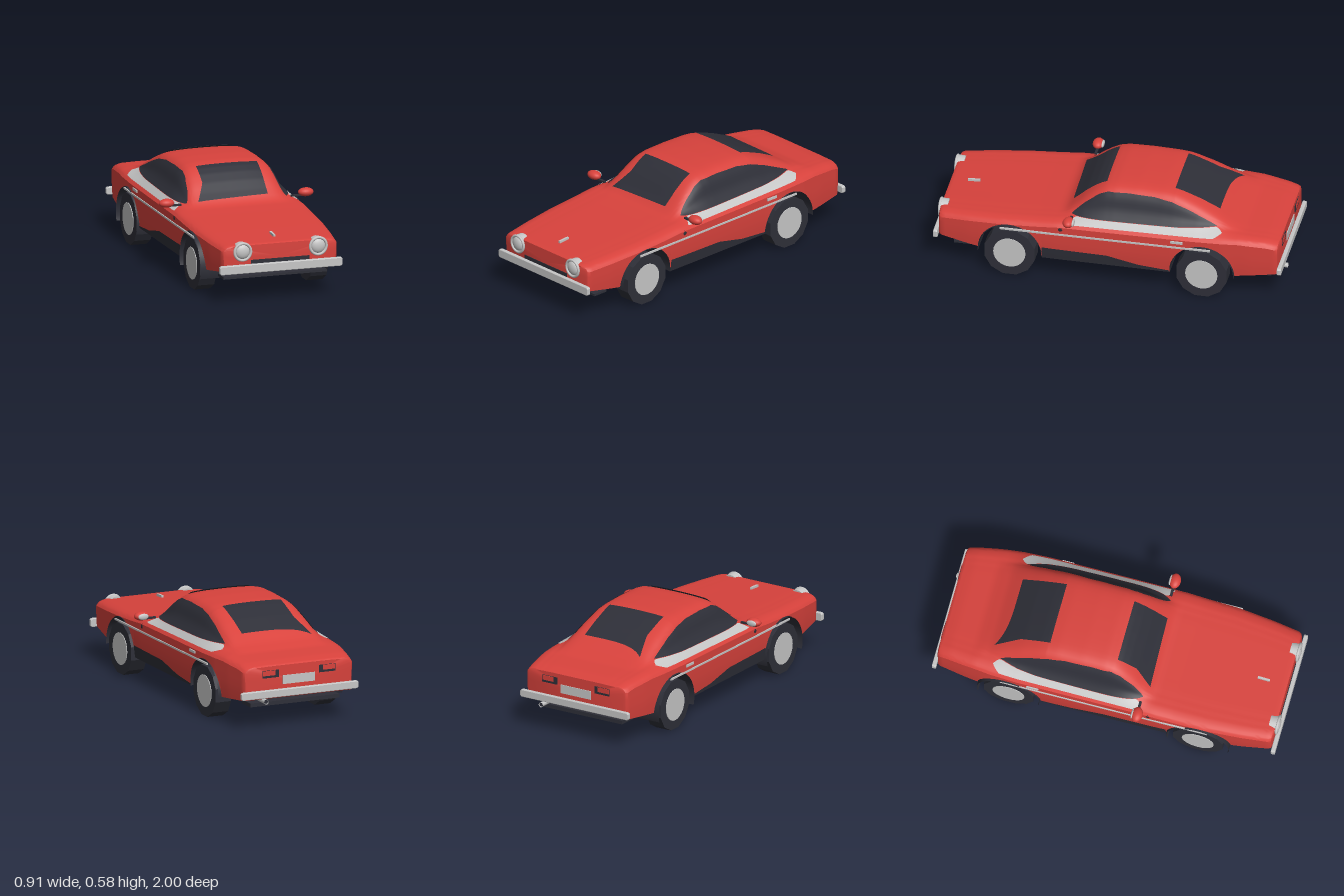
import * as THREE from 'three';
import { toCreasedNormals } from 'three/addons/utils/BufferGeometryUtils.js';

const { lerp } = THREE.MathUtils;
const ARCHES = [0.555, -0.54], ARCH_R = 0.184, AXLE_Y = 0.15;

// Piecewise linear lookup over [key, value] pairs with ascending keys
function table(pairs, k) {
  if (k <= pairs[0][0]) return pairs[0][1];
  for (let i = 1; i < pairs.length; i++) {
    const [a, va] = pairs[i - 1], [b, vb] = pairs[i];
    if (k <= b) return b === a ? vb : lerp(va, vb, (k - a) / (b - a));
  }
  return pairs[pairs.length - 1][1];
}

// Lines that shape the body along z
const WIDTH = [[-0.96, 0.335], [-0.8, 0.36], [-0.65, 0.377], [-0.5, 0.384], [0.3, 0.384], [0.6, 0.378], [0.8, 0.36], [0.97, 0.337]];
const DECK = [[-0.96, 0.362], [-0.9, 0.376], [-0.75, 0.392], [-0.6, 0.392], [0.28, 0.383], [0.4, 0.372], [0.7, 0.352], [0.97, 0.333]];
const ROOF = [[-0.76, 0.392], [-0.68, 0.42], [-0.6, 0.465], [-0.5, 0.515], [-0.4, 0.555], [-0.36, 0.567], [-0.3, 0.575],
  [-0.15, 0.58], [-0.02, 0.577], [0.03, 0.568], [0.06, 0.555], [0.1, 0.53], [0.15, 0.49], [0.2, 0.442], [0.25, 0.398], [0.28, 0.383]];
const FLOOR = [[-0.96, 0.175], [-0.72, 0.152], [-0.36, 0.14], [0.37, 0.14], [0.73, 0.152], [0.97, 0.19]];

// Half cross-section at z, from the middle of the floor round to the middle of the roof
const cache = new Map();
function half(z) {
  if (cache.has(z)) return cache.get(z);
  const w = table(WIDTH, z), d = table(DECK, z);
  const h = z > -0.76 && z < 0.28 ? Math.max(0, table(ROOF, z) - d) : 0;
  let yb = table(FLOOR, z);
  for (const c of ARCHES) {
    const q = ARCH_R ** 2 - (z - c) ** 2;
    if (q > 0) yb = Math.max(yb, AXLE_Y + Math.sqrt(q));
  }
  const side = y => w * (1 - 1.5 * Math.max(0, 0.28 - y) ** 2);
  const ys = Math.max(d - 0.028, yb + 0.001);
  const pts = [[0, yb]];
  for (let i = 0; i < 4; i++) { const y = lerp(yb, ys, i / 4); pts.push([side(y), y]); }
  const k = w / 0.384;
  const curve = new THREE.CatmullRomCurve3([
    [w, ys], [w * 0.955, d - 0.01], [0.325 * k, d + 0.002 + 0.16 * h], [0.295 * k, d + 0.003 + 0.36 * h],
    [0.272 * k, d + 0.004 + 0.64 * h], [0.25 * k, d + 0.004 + 0.82 * h], [0.215 * k, d + 0.005 + 0.93 * h],
    [0.13 * k, d + 0.005 + 0.985 * h], [0, d + 0.005 + h],
  ].map(([x, y]) => new THREE.Vector3(x, y, 0)), false, 'centripetal');
  for (const p of curve.getPoints(24)) pts.push([p.x, p.y]);
  cache.set(z, pts);
  return pts;
}
// Body surface lookups: x on the flank at a height, y on the top at a distance from the middle
const sideX = (z, y) => table(half(z).slice(1).map(([x, py]) => [py, x]), y);
const topY = (z, x) => table(half(z).slice(5).reverse(), Math.abs(x));

function bodyGeometry() {
  const zs = [];
  for (let z = -0.95; z < 0.956; z += 0.02) {
    if (!ARCHES.some(c => Math.abs(z - c) < ARCH_R + 0.005)) zs.push(z);
  }
  for (const c of ARCHES) for (let i = 0; i <= 20; i++) zs.push(c - ARCH_R * Math.cos(Math.PI * i / 20));
  zs.sort((a, b) => a - b);
  const rows = zs.map(z => [z, 1, z]);
  const a = zs[0], b = zs[zs.length - 1];
  rows.unshift([a, 0, -0.968], [a, 0.93, -0.967], [a, 0.975, -0.962]);
  rows.push([b, 0.975, 0.964], [b, 0.93, 0.97], [b, 0, 0.972]);
  const pos = [], red = [], dark = [];
  let n = 0;
  for (const [z, s, zd] of rows) {
    const right = half(z);
    const ring = [...right, ...right.slice(1, -1).reverse().map(([x, y]) => [-x, y])];
    n = ring.length;
    for (const [x, y] of ring) pos.push(x * s, lerp(0.26, y, s), zd);
  }
  for (let i = 0; i < rows.length - 1; i++) for (let j = 0; j < n; j++) {
    const k = (j + 1) % n, p = i * n + j, q = i * n + k;
    const under = (j === 0 || k === 0) && rows[i][1] === 1 && rows[i + 1][1] === 1;
    (under ? dark : red).push(p, q, q + n, p, q + n, p + n);
  }
  const g = new THREE.BufferGeometry();
  g.setAttribute('position', new THREE.Float32BufferAttribute(pos, 3));
  g.setIndex([...red, ...dark]);
  g.addGroup(0, red.length, 0);
  g.addGroup(red.length, dark.length, 1);
  return toCreasedNormals(g, 0.6);
}

// Thin sheet from a rule that maps u, v in 0..1 to a point
function sheet(nu, nv, rule) {
  const g = new THREE.PlaneGeometry(1, 1, nu, nv), p = g.attributes.position;
  for (let i = 0; i < p.count; i++) p.setXYZ(i, ...rule(p.getX(i) + 0.5, p.getY(i) + 0.5));
  g.computeVertexNormals();
  return g;
}
// Sheet on one flank between two height lines
const flank = (s, z0, z1, low, high, nv = 8) => sheet(60, nv, (u, v) => {
  const z = lerp(z0, z1, u), y = lerp(table(low, z), table(high, z), v);
  return [s * (sideX(z, y) + 0.004), y + 0.001, z];
});

export function createModel() {
  const car = new THREE.Group();
  car.name = 'car';
  const mat = (name, color) => Object.assign(new THREE.MeshStandardMaterial({ color, side: THREE.DoubleSide }), { name });
  const red = mat('red paint', 0xd8423c), dark = mat('dark glass and rubber', 0x2e2f38), chrome = mat('chrome', 0xc6c6c6);
  const add = (name, geo, m, x = 0, y = 0, z = 0) => {
    const mesh = new THREE.Mesh(geo, m);
    mesh.name = name;
    mesh.position.set(x, y, z);
    car.add(mesh);
    return mesh;
  };
  const box = (name, m, w, h, d, x, y, z) => add(name, new THREE.BoxGeometry(w, h, d), m, x, y, z);

  add('body', bodyGeometry(), [red, dark]);

  // Front and rear glass, each with a drawn-out lower corner
  add('windshield', sheet(16, 24, (u, v) => {
    const x = lerp(-0.178 - 0.055 * Math.max(0, (v - 0.55) / 0.45), 0.182, u);
    const z = lerp(0.035, 0.226, v) + 0.012 * v * (1 - u);
    return [x, topY(z, x) + 0.006, z + 0.003];
  }), dark);
  add('rearWindow', sheet(24, 24, (u, v) => {
    const x = lerp(-0.18 - 0.045 * Math.max(0, (v - 0.6) / 0.4), 0.18, u);
    const z = lerp(-0.35, -0.605, v) - 0.055 * v * v * (1 - u) ** 5;
    return [x, topY(z, x) + 0.007, z - 0.002];
  }), dark);

  for (const s of [1, -1]) {
    // Side glass, belt trim and sill
    add('sideWindow', flank(s, -0.61, 0.215, [[-0.61, 0.424], [-0.4, 0.414], [0.215, 0.404]],
      [[-0.61, 0.426], [-0.45, 0.495], [-0.35, 0.53], [-0.25, 0.546], [-0.1, 0.55], [0.02, 0.545], [0.07, 0.525], [0.15, 0.465], [0.215, 0.406]]), dark);
    add('beltTrim', flank(s, -0.645, 0.225, [[-0.645, 0.402], [-0.6, 0.383], [0.2, 0.372], [0.225, 0.374]],
      [[-0.645, 0.403], [-0.61, 0.422], [-0.4, 0.413], [0.19, 0.403], [0.225, 0.375]]), chrome);
    add('sill', flank(s, -0.355, 0.37, [[0, 0.139]], [[-0.355, 0.15], [-0.18, 0.165], [0, 0.205], [0.37, 0.21]], 3), dark);

    // Side moulding, door handle and marker
    box('sideMoulding', chrome, 0.009, 0.01, 1.2, s * 0.385, 0.312, 0.01).rotation.x = 0.004;
    box('doorHandle', chrome, 0.016, 0.014, 0.07, s * 0.383, 0.347, -0.4);
    const marker = add('sideMarker', new THREE.SphereGeometry(0.018, 8, 6), dark, s * 0.379, 0.342, 0.265);
    marker.scale.x = 0.4;

    // Door mirror
    box('mirrorStem', dark, 0.06, 0.01, 0.014, s * 0.355, 0.401, 0.21);
    add('doorMirror', new THREE.SphereGeometry(1, 20, 14), red, s * 0.411, 0.417, 0.212).scale.set(0.045, 0.025, 0.032);
    add('mirrorGlass', new THREE.SphereGeometry(1, 20, 10), chrome, s * 0.411, 0.417, 0.186).scale.set(0.032, 0.018, 0.009);

    // Headlight
    add('headlightHousing', new THREE.CylinderGeometry(0.052, 0.05, 0.045, 24).rotateX(Math.PI / 2), chrome, s * 0.223, 0.3, 0.954);
    add('headlightRing', new THREE.TorusGeometry(0.048, 0.008, 10, 32), chrome, s * 0.223, 0.3, 0.978);
    add('headlightLens', new THREE.SphereGeometry(0.042, 24, 16), chrome, s * 0.223, 0.3, 0.972).scale.z = 0.5;

    // Tail light
    box('tailLightFrame', dark, 0.1, 0.042, 0.008, s * 0.175, 0.318, -0.967);
    box('tailLight', red, 0.075, 0.028, 0.008, s * 0.185, 0.324, -0.969);

    // Wheels with covers on both faces
    for (const z of ARCHES) {
      const tyre = new THREE.CylinderGeometry(0.148, 0.148, 0.096, 12).rotateZ(Math.PI / 2).rotateX(Math.PI / 12);
      add('tyre', toCreasedNormals(tyre, 0.3), dark, s * 0.331, AXLE_Y, z);
      add('wheelCover', new THREE.CylinderGeometry(0.092, 0.092, 0.103, 24).rotateZ(Math.PI / 2), chrome, s * 0.331, AXLE_Y, z);
    }
  }

  // Wheel housings: a full-width tunnel and a deeper liner on one side
  for (const z of ARCHES) for (const [x0, x1, drop] of [[-0.388, 0.38, 0.01], [-0.39, -0.185, 0.052]]) {
    const a = Math.asin(drop / 0.181);
    add('wheelHousing', new THREE.CylinderGeometry(0.181, 0.181, x1 - x0, 24, 1, true, -a, Math.PI + 2 * a).rotateZ(Math.PI / 2),
      dark, (x0 + x1) / 2, AXLE_Y, z);
  }

  // Bumpers: rounded bars across both ends
  for (const [name, z, y, h] of [['frontBumper', 0.971, 0.203, 0.042], ['rearBumper', -0.989, 0.207, 0.036]]) {
    const r = 0.006, w = 0.716, shape = new THREE.Shape();
    shape.moveTo(-w / 2, -h / 2 + r).lineTo(-w / 2 + r, -h / 2).lineTo(w / 2 - r, -h / 2).lineTo(w / 2, -h / 2 + r);
    shape.lineTo(w / 2, h / 2 - r).lineTo(w / 2 - r, h / 2).lineTo(-w / 2 + r, h / 2).lineTo(-w / 2, h / 2 - r);
    add(name, new THREE.ExtrudeGeometry(shape, { depth: 0.014, bevelSize: 0.004, bevelThickness: 0.005, bevelSegments: 2 }), chrome, 0, y, z + 0.005);
  }

  // Nose and tail details
  box('grille', dark, 0.345, 0.03, 0.008, 0, 0.234, 0.97);
  box('hoodOrnament', chrome, 0.012, 0.016, 0.07, 0, 0.352, 0.835).rotation.x = 0.06;
  box('rearPlate', chrome, 0.2, 0.05, 0.008, 0, 0.278, -0.968);
  box('frontSpoiler', dark, 0.61, 0.013, 0.095, 0, 0.132, 0.84);
  box('rearValance', dark, 0.55, 0.022, 0.11, 0, 0.136, -0.862);
  add('exhaustPipe', new THREE.CylinderGeometry(0.014, 0.014, 0.1, 16, 1, true).rotateX(Math.PI / 2), chrome, 0.215, 0.168, -0.95);
  add('exhaustBore', new THREE.CylinderGeometry(0.011, 0.011, 0.092, 16).rotateX(Math.PI / 2), dark, 0.215, 0.168, -0.95);
  return car;
}
